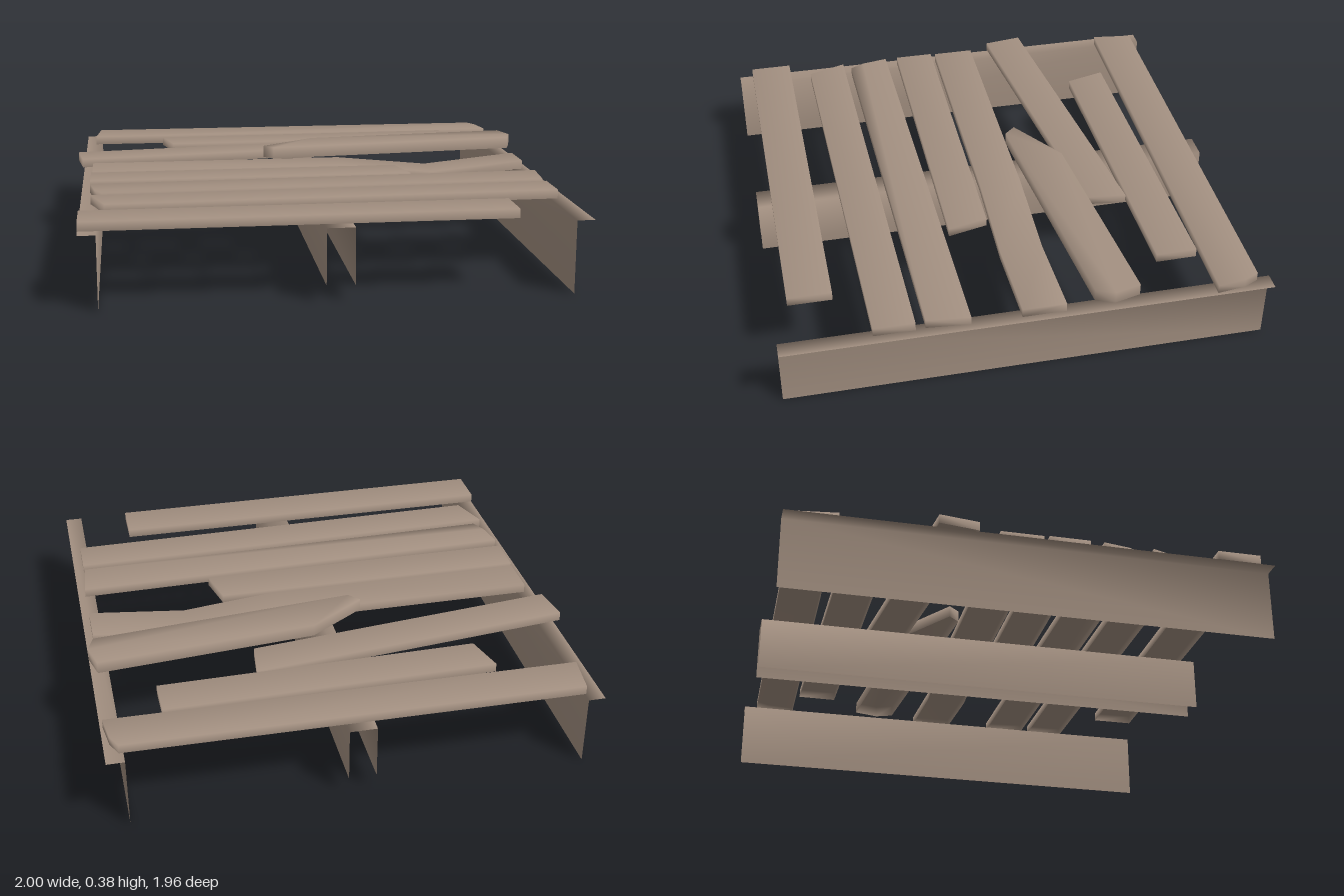
import * as THREE from 'three';
import { mergeVertices } from 'three/addons/utils/BufferGeometryUtils.js';

const wood = new THREE.MeshStandardMaterial({ color: 0xa39081, side: THREE.DoubleSide });

// Drop the underside, then weld corners so the shading runs softly over the edges
function openAndSoften(geometry) {
  const { position, normal } = geometry.attributes;
  const kept = [];
  for (let i = 0; i < position.count; i += 3) {
    if (normal.getY(i) < -0.5) continue;
    for (let j = i; j < i + 3; j++) kept.push(position.getX(j), position.getY(j), position.getZ(j));
  }
  const open = new THREE.BufferGeometry();
  open.setAttribute('position', new THREE.Float32BufferAttribute(kept, 3));
  const welded = mergeVertices(open, 1e-4);
  welded.computeVertexNormals();
  return welded;
}

function extrude(points, depth) {
  const shape = new THREE.Shape(points.map(([x, y]) => new THREE.Vector2(x, y)));
  return new THREE.ExtrudeGeometry(shape, { depth, bevelEnabled: false });
}

function part(name, geometry) {
  const mesh = new THREE.Mesh(geometry, wood);
  mesh.name = name;
  return mesh;
}

// Flat board from its outline in (x, z), open underneath
function plank(name, outline, bottom = 0.293, thickness = 0.037) {
  const geometry = extrude(outline.map(([x, z]) => [x, -z]), thickness);
  geometry.rotateX(-Math.PI / 2).translate(0, bottom, 0);
  return part(name, openAndSoften(geometry));
}

// Open folded sheet: an (x, y) profile swept along z
function beam(name, profile) {
  const positions = [], index = [];
  profile.forEach(([x, y], i) => {
    positions.push(x, y, 0.98, x, y, -0.98);
    if (i) {
      const a = 2 * (i - 1);
      index.push(a, a + 2, a + 1, a + 1, a + 2, a + 3);
    }
  });
  const geometry = new THREE.BufferGeometry();
  geometry.setAttribute('position', new THREE.Float32BufferAttribute(positions, 3));
  geometry.setIndex(index);
  geometry.computeVertexNormals();
  return part(name, geometry);
}

export function createModel() {
  const group = new THREE.Group();
  group.name = 'brokenPlatform';
  const top = 0.292, channelBottom = 0.067;

  // Supports: two outer ledges and a shallower central channel
  group.add(
    beam('rightBeam', [[-0.97, top], [-0.9, top], [-0.9, 0]]),
    beam('centreBeam', [[-0.042, channelBottom], [-0.042, top], [0.069, top], [0.069, channelBottom]]),
    beam('leftBeam', [[0.926, 0], [0.926, top], [0.998, top]])
  );

  // Boards from back to front, with broken ends
  const outlines = {
    backBoard: [[-0.905, -0.937], [0.943, -0.922], [0.972, -0.862], [0.987, -0.747], [-0.927, -0.764]],
    shortBackBoard: [[-0.607, -0.708], [0.753, -0.732], [0.755, -0.565], [-0.562, -0.542]],
    skewedBoard: [[-1, -0.393], [0.348, -0.552], [0.33, -0.385], [-0.977, -0.23]],
    shortMiddleBoard: [[-0.935, 0.058], [0.384, 0.058], [0.424, 0.224], [-0.935, 0.224]],
    middleBoard: [[-0.935, 0.28], [0.968, 0.239], [0.952, 0.414], [-0.885, 0.453], [-0.915, 0.393]],
    frontMiddleBoard: [[-0.928, 0.487], [0.957, 0.453], [0.957, 0.618], [-0.872, 0.65]],
    frontBoard: [[-0.97, 0.742], [0.718, 0.742], [0.718, 0.92], [-0.97, 0.92]]
  };
  for (const [name, outline] of Object.entries(outlines)) group.add(plank(name, outline));

  // Loose splintered board lying on top of the others
  group.add(plank('looseBoard', [
    [-0.17, -0.183], [0.068, -0.343], [0.972, -0.428], [1, -0.322], [0.972, -0.247], [-0.128, -0.136]
  ], 0.331, 0.05));

  // Cracked board that sags between two supports
  const sag = extrude([
    [-0.93, 0.293], [0.16, 0.293], [0.56, 0.253], [0.967, 0.293],
    [0.967, 0.33], [0.56, 0.29], [0.16, 0.33], [-0.93, 0.33]
  ], 0.176).translate(0, 0, -0.138);
  group.add(part('saggingBoard', openAndSoften(sag)));

  return group;
}
